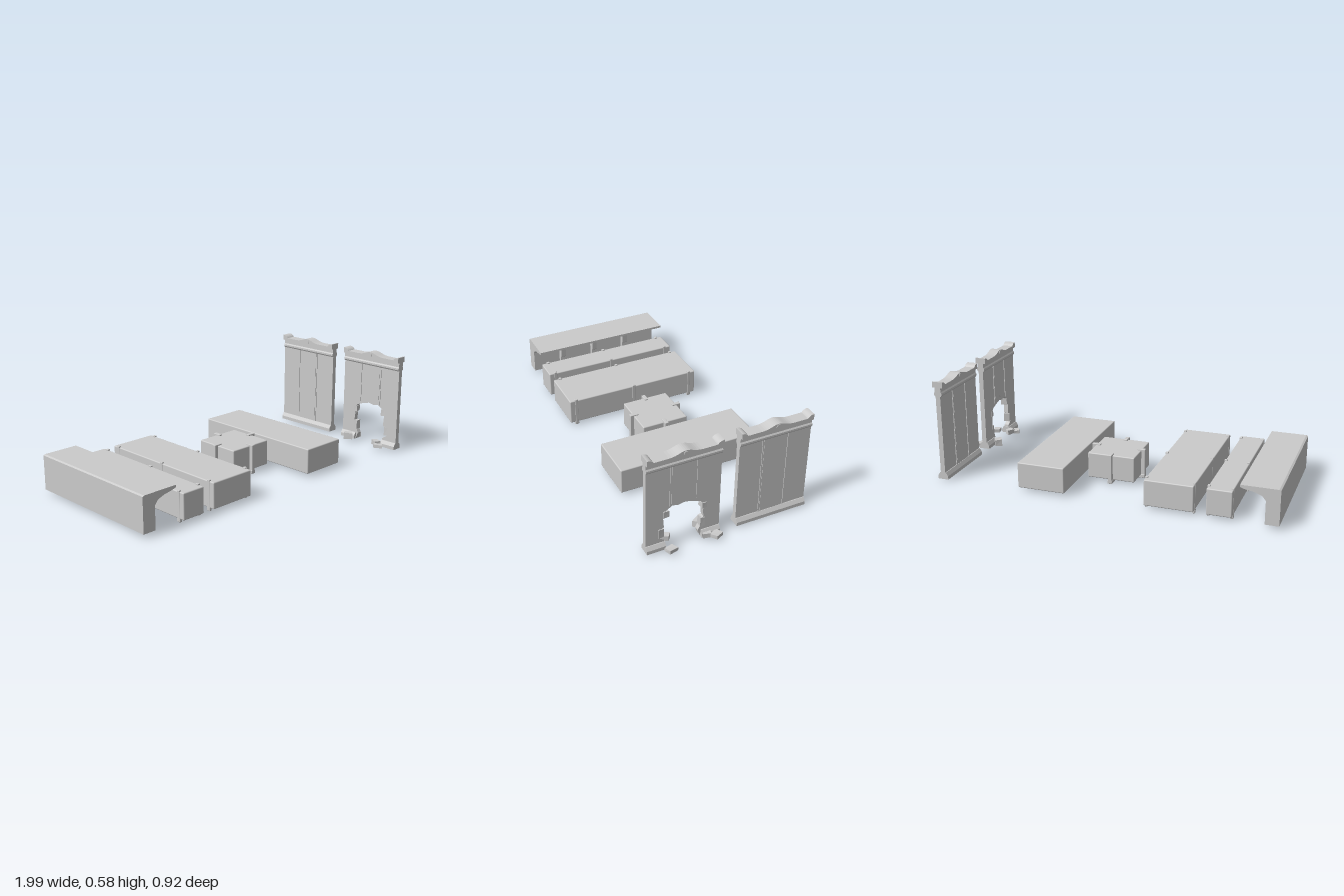
import * as THREE from 'three';
import { RoundedBoxGeometry } from 'three/addons/geometries/RoundedBoxGeometry.js';

const mat = new THREE.MeshStandardMaterial({ color: 0xcccccc });
const flat = new THREE.MeshStandardMaterial({ color: 0xcccccc, flatShading: true });

function add(parent, name, geo, x = 0, y = 0, z = 0, m = mat) {
  const mesh = new THREE.Mesh(geo, m);
  mesh.name = name;
  mesh.position.set(x, y, z);
  parent.add(mesh);
  return mesh;
}

// box given by its minimum and maximum corners
function span(parent, name, [x0, x1], [y0, y1], [z0, z1], r = 0) {
  const s = [x1 - x0, y1 - y0, z1 - z0];
  const geo = r ? new RoundedBoxGeometry(...s, 2, r) : new THREE.BoxGeometry(...s);
  return add(parent, name, geo, (x0 + x1) / 2, (y0 + y1) / 2, (z0 + z1) / 2);
}

const outline = (pts) => new THREE.Shape(pts.map((p) => new THREE.Vector2(...p)));
const extrude = (shape, depth) =>
  new THREE.ExtrudeGeometry(shape, { depth, bevelEnabled: false, curveSegments: 8 });

// plate drawn in the z-y plane, with its thickness centred on x = 0
function plate(shape, thickness) {
  return extrude(shape, thickness).translate(0, 0, -thickness / 2).rotateY(-Math.PI / 2);
}

// chunk of rubble: a box with its corners shifted by a rule
function chunk(parent, [x, y, z], [w, h, d], turn) {
  const geo = new THREE.BoxGeometry(w, h, d);
  const p = geo.attributes.position;
  for (let i = 0; i < p.count; i++) {
    const sx = Math.sign(p.getX(i)), sy = Math.sign(p.getY(i)), sz = Math.sign(p.getZ(i));
    const k = 1 + 0.16 * Math.sin(sx * 5 + sy * 3 + sz * 7 + turn * 4);
    p.setXYZ(i, p.getX(i) * k, p.getY(i) * (sx * sz > 0 ? 1 : 0.88), p.getZ(i) * k);
  }
  geo.computeVertexNormals();
  add(parent, 'rubble', geo, x, y, z, flat).rotation.y = turn;
}

// clip that wraps the side of a slab; local +x points outwards
function clip(parent, x, z, angle, reach, out, width) {
  const g = new THREE.Group();
  g.name = 'clip';
  span(g, 'clipBar', [-0.004, out], [0.008, 0.168], [-width / 2, width / 2], 0.003);
  span(g, 'clipTop', [-reach, out], [0.16, 0.172], [-width / 2, width / 2], 0.003);
  span(g, 'clipFoot', [-reach, out], [0, 0.022], [-width * 0.65, width * 0.65], 0.004);
  g.position.set(x, 0, z);
  g.rotation.y = angle;
  parent.add(g);
}

function counter() {
  const g = new THREE.Group();
  g.name = 'counter';
  // back wall and overhanging top
  const body = outline([
    [-1, 0.02], [-0.925, 0.02], [-0.925, 0.15], [-0.905, 0.175], [-0.865, 0.19],
    [-0.81, 0.2], [-0.79, 0.207], [-0.79, 0.22], [-0.99, 0.22], [-1, 0.215],
  ]);
  add(g, 'counterBody', extrude(body, 0.83), 0, 0, -0.46);
  // supporting ribs
  const rib = outline([
    [-0.94, 0.02], [-0.9, 0.02], [-0.9, 0.09], [-0.888, 0.1], [-0.884, 0.165],
    [-0.865, 0.185], [-0.85, 0.197], [-0.94, 0.2],
  ]);
  for (const z of [0.17, -0.045, -0.26]) add(g, 'rib', extrude(rib, 0.03), 0, 0, z - 0.015 + 0.015);
  return g;
}

function slab(name, xs, zs, clips) {
  const g = new THREE.Group();
  g.name = name;
  span(g, 'block', xs, [0.018, 0.165], zs, 0.006);
  if (clips === 'sides') {
    for (const z of [-0.4, -0.03, 0.34]) {
      clip(g, xs[1], z, 0, 0.014, 0.002, 0.018);
      clip(g, xs[0], z, Math.PI, 0.014, 0.002, 0.018);
    }
  }
  if (clips === 'middles') {
    const cx = (xs[0] + xs[1]) / 2, cz = (zs[0] + zs[1]) / 2;
    const hx = (xs[1] - xs[0]) / 2, hz = (zs[1] - zs[0]) / 2;
    for (let i = 0; i < 4; i++) {
      const a = (i * Math.PI) / 2;
      clip(g, cx + Math.cos(a) * hx, cz - Math.sin(a) * hz, a, 0.028, 0.022, 0.022);
    }
  }
  return g;
}

// jagged opening of the damaged wall, as offset from its centre and height
const breach = [
  [0.1, 0.01], [0.105, 0.06], [0.135, 0.08], [0.13, 0.13], [0.105, 0.14], [0.11, 0.2],
  [0.095, 0.24], [0.06, 0.262], [0.03, 0.255], [-0.01, 0.262], [-0.05, 0.252], [-0.07, 0.245],
  [-0.095, 0.235], [-0.12, 0.2], [-0.11, 0.175], [-0.115, 0.13], [-0.1, 0.125], [-0.1, 0.085],
  [-0.085, 0.05], [-0.1, 0.01],
];

function wall(name, z, broken) {
  const g = new THREE.Group();
  g.name = name;
  const w = 0.205;
  // main sheet
  const sheet = [[-w, 0.01], [-w, 0.55], [w, 0.55], [w, 0.01], ...(broken ? breach : [])];
  add(g, 'sheet', plate(outline(sheet), 0.028));
  // raised middle panel, torn along its lower edge when damaged
  const tear = [[0.065, 0.275], [0.045, 0.283], [0.03, 0.273], [0.005, 0.28], [-0.012, 0.293],
    [-0.03, 0.275], [-0.05, 0.28], [-0.065, 0.27]];
  const foot = broken ? tear : [[0.065, 0.05], [-0.065, 0.05]];
  add(g, 'middlePanel', plate(outline([[-0.065, 0.5], [0.065, 0.5], ...foot]), 0.032));
  for (const s of [-1, 1]) {
    const c = s * 0.073;
    span(g, 'bead', [-0.018, 0.018], [broken ? 0.262 : 0.05, 0.5], [c - 0.003, c + 0.003]);
  }
  // skirting, left open at the breach
  for (const [a, b] of broken ? [[-w, -0.1], [0.1, w]] : [[-w, w]]) {
    span(g, 'skirting', [-0.031, 0.031], [0.01, 0.03], [a, b]);
    const step = outline([[-0.031, 0.03], [0.031, 0.03], [0.018, 0.05], [-0.018, 0.05]]);
    add(g, 'skirtingSlope', extrude(step, b - a), 0, 0, a);
  }
  // frieze and mouldings
  span(g, 'frieze', [-0.018, 0.018], [0.5, 0.55], [-w, w]);
  const bead = outline([[-0.018, 0.5], [-0.023, 0.508], [-0.023, 0.518], [-0.018, 0.526],
    [0.018, 0.526], [0.023, 0.518], [0.023, 0.508], [0.018, 0.5]]);
  add(g, 'friezeMoulding', extrude(bead, 2 * w), 0, 0, -w);
  // crest with corner horns and a central hump
  const crest = new THREE.Shape();
  crest.moveTo(-w, 0.55);
  crest.lineTo(w, 0.55);
  crest.lineTo(w, 0.583);
  crest.quadraticCurveTo(w - 0.025, 0.582, w - 0.035, 0.565);
  crest.lineTo(0.09, 0.565);
  crest.bezierCurveTo(0.045, 0.566, 0.03, 0.585, 0, 0.585);
  crest.bezierCurveTo(-0.03, 0.585, -0.045, 0.566, -0.09, 0.565);
  crest.lineTo(-w + 0.035, 0.565);
  crest.quadraticCurveTo(-w + 0.025, 0.582, -w, 0.583);
  add(g, 'crest', plate(crest, 0.062));
  const knob = new THREE.CylinderGeometry(0.013, 0.013, 0.069, 16).rotateZ(Math.PI / 2);
  add(g, 'crestKnob', knob, 0, 0.568, 0);
  if (broken) {
    // loose masonry along the breach
    chunk(g, [0, 0.22, 0.098], [0.036, 0.04, 0.03], 0.1);
    chunk(g, [0, 0.108, 0.126], [0.036, 0.055, 0.03], 0.2);
    chunk(g, [0, 0.205, -0.112], [0.036, 0.035, 0.024], 0.15);
    chunk(g, [0, 0.1, -0.106], [0.034, 0.06, 0.022], 0.05);
    // fallen pieces on the ground
    chunk(g, [-0.055, 0.034, -0.13], [0.044, 0.042, 0.05], 0.6);
    chunk(g, [0.053, 0.022, -0.173], [0.045, 0.022, 0.05], 0.5);
    chunk(g, [0.025, 0.024, -0.13], [0.04, 0.028, 0.04], -0.3);
    chunk(g, [-0.065, 0.024, 0.11], [0.035, 0.02, 0.055], 0.5);
    chunk(g, [-0.035, 0.03, 0.075], [0.035, 0.03, 0.045], -0.5);
    chunk(g, [0.056, 0.025, 0.085], [0.04, 0.022, 0.05], 0.3);
  }
  g.position.set(0.912, 0, z);
  return g;
}

export function createModel() {
  const model = new THREE.Group();
  model.name = 'furnitureSet';
  const long = [-0.44, 0.38];
  model.add(
    counter(),
    slab('narrowSlab', [-0.75, -0.612], long, 'sides'),
    slab('wideSlab', [-0.545, -0.273], long, 'sides'),
    slab('squareSlab', [-0.13, 0.145], [-0.17, 0.103], 'middles'),
    slab('plainSlab', [0.182, 0.455], long),
    wall('damagedWall', 0.255, true),
    wall('intactWall', -0.252, false),
  );
  return model;
}
